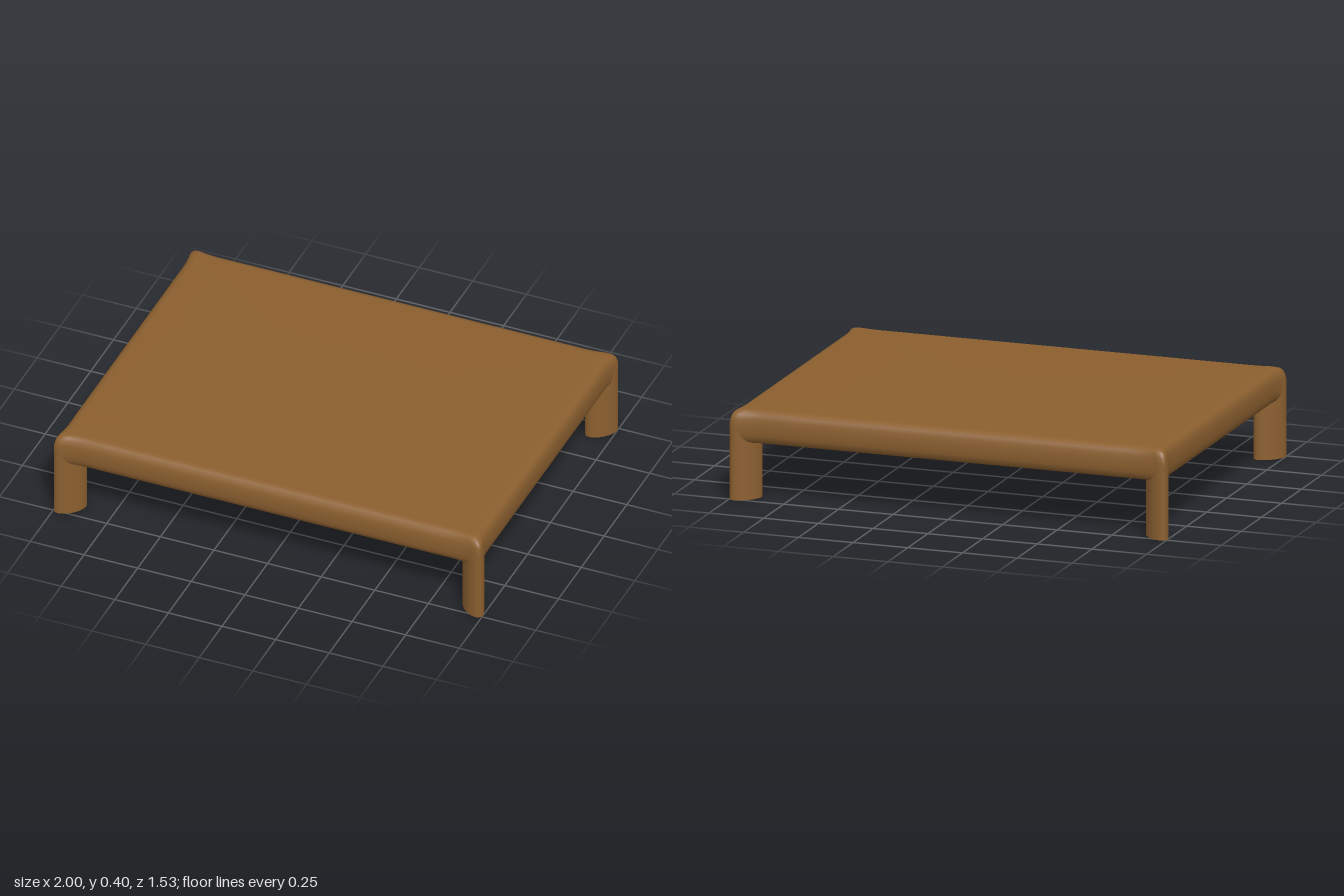
import * as THREE from 'three';

const wood = new THREE.MeshStandardMaterial({ color: 0x8b5f2f });
wood.name = 'brown wood';

// Plan outline: nearly straight sides that swell gently at each corner
function slabOutline() {
  const quarter = [
    [0.988, 0.25], [0.988, 0.55], [0.988, 0.65], [0.992, 0.7], [0.998, 0.738],
    [0.993, 0.758], [0.973, 0.763], [0.935, 0.757], [0.88, 0.752], [0.78, 0.752], [0.3, 0.752],
  ];
  const reversed = [...quarter].reverse();
  const points = [];
  for (const [pts, sx, sz] of [[quarter, 1, 1], [reversed, -1, 1], [quarter, -1, -1], [reversed, 1, -1]]) {
    for (const [x, z] of pts) points.push(new THREE.Vector3(x * sx, 0, z * sz));
  }
  const curve = new THREE.CatmullRomCurve3(points, true, 'centripetal');
  return curve.getPoints(points.length * 4).slice(0, -1);
}

// Loft of the outline through a rounded edge profile, closed above and below
function slabGeometry() {
  const profile = [ // [inset, height]
    [0.05, 0.4], [0.035, 0.398], [0.02, 0.392], [0.009, 0.38], [0.003, 0.362], [0, 0.34],
    [0, 0.31], [0.003, 0.288], [0.008, 0.272], [0.018, 0.259], [0.033, 0.252], [0.05, 0.25],
  ];
  const outline = slabOutline();
  const n = outline.length;
  const position = [];
  const index = [];
  for (const [inset, y] of profile) {
    for (const p of outline) position.push(p.x * (1 - inset / 0.99), y, p.z * (1 - inset / 0.75));
  }
  const top = profile.length * n;
  const bottom = top + 1;
  const last = (profile.length - 1) * n;
  position.push(0, 0.4, 0, 0, 0.25, 0);
  for (let j = 0; j < n; j++) {
    const k = (j + 1) % n;
    for (let i = 0; i < last; i += n) {
      index.push(i + j, i + k, i + n + j, i + k, i + n + k, i + n + j);
    }
    index.push(top, k, j, bottom, last + j, last + k);
  }
  const geometry = new THREE.BufferGeometry();
  geometry.setAttribute('position', new THREE.Float32BufferAttribute(position, 3));
  geometry.setIndex(index);
  geometry.computeVertexNormals();
  return geometry;
}

export function createModel() {
  const table = new THREE.Group();
  table.name = 'lowTable';

  const slab = new THREE.Mesh(slabGeometry(), wood);
  slab.name = 'tableTop';
  table.add(slab);

  // Oval legs, long axis along each corner's diagonal
  for (const [side, sx] of [['Left', 1], ['Right', -1]]) {
    for (const [end, sz] of [['front', 1], ['back', -1]]) {
      const geometry = new THREE.CylinderGeometry(1, 1, 0.34, 48);
      geometry.scale(0.075, 1, 0.04);
      geometry.rotateY(-sx * sz * Math.PI / 4);
      const leg = new THREE.Mesh(geometry, wood);
      leg.name = end + side + 'Leg';
      leg.position.set(sx * 0.94, 0.17, sz * 0.703);
      table.add(leg);
    }
  }
  return table;
}
